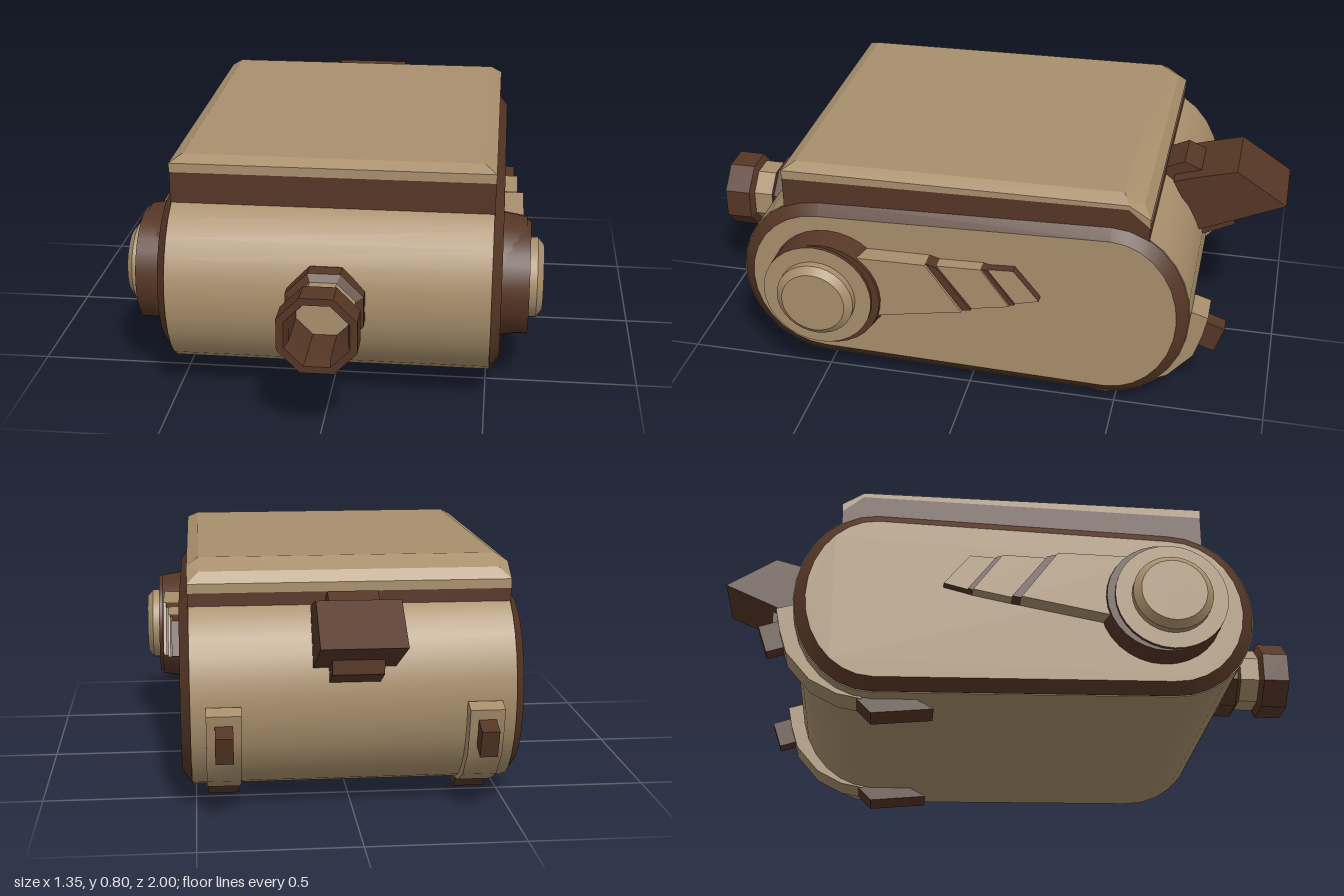
import * as THREE from 'three';
import { toCreasedNormals } from 'three/addons/utils/BufferGeometryUtils.js';

const tan = new THREE.MeshStandardMaterial({ color: 0xa88f6c });
tan.name = 'tan shell';
const brown = new THREE.MeshStandardMaterial({ color: 0x553625 });
brown.name = 'brown trim';

export function createModel() {
  const model = new THREE.Group();
  model.name = 'packUnit';

  const add = (name, geometry, material) => {
    const mesh = new THREE.Mesh(geometry, material);
    mesh.name = name;
    model.add(mesh);
    return mesh;
  };

  // Side outline given as [z, y] points, extruded across x from x0 to x1
  const prism = (name, pts, x0, x1, caps, walls = caps, bevel = {}) => {
    const shape = new THREE.Shape(pts.map(([z, y]) => new THREE.Vector2(z, y)));
    let geo = new THREE.ExtrudeGeometry(shape, { depth: x1 - x0, bevelEnabled: false, ...bevel });
    geo.rotateY(-Math.PI / 2).translate(x1, 0, 0);
    geo = toCreasedNormals(geo, Math.PI / 6);
    return add(name, geo, caps === walls ? caps : [caps, walls]);
  };

  // Rounded, slightly tapering body outline
  const outline = (grow) => {
    const pts = [];
    const n = 14;
    for (let i = 0; i <= n; i++) {
      const a = -Math.PI / 2 + (Math.PI * i) / n;
      pts.push([0.5 + (0.275 + grow) * Math.cos(a), 0.365 + (0.295 + grow) * Math.sin(a)]);
    }
    for (let i = 0; i <= n; i++) {
      const a = Math.PI / 2 + (Math.PI * i) / n;
      pts.push([-0.47 + (0.262 + grow) * Math.cos(a), 0.371 + (0.32 + grow) * Math.sin(a)]);
    }
    return pts;
  };
  prism('bodyWithBevelledRims', outline(0), -0.513, 0.513, tan, brown, {
    bevelEnabled: true, bevelThickness: 0.03, bevelSize: 0.038, bevelOffset: -0.038, bevelSegments: 1,
  });
  prism('bodyShell', outline(0.003), -0.512, 0.512, tan);

  // Lid: brown band below a bevelled tan cover
  prism('lidBand', [[0.62, 0.6], [0.62, 0.737], [-0.52, 0.762], [-0.59, 0.705], [-0.59, 0.6]], -0.515, 0.515, brown);
  const ring = (x, z, y) => [
    [x, y[0], z[0]], [x, y[1], z[1]], [x, y[2], z[2]],
    [-x, y[2], z[2]], [-x, y[1], z[1]], [-x, y[0], z[0]],
  ];
  const rings = [
    ring(0.516, [0.621, -0.52, -0.591], [0.735, 0.76, 0.7]),
    ring(0.516, [0.621, -0.52, -0.591], [0.765, 0.775, 0.73]),
    ring(0.478, [0.582, -0.5, -0.565], [0.786, 0.8, 0.765]),
  ];
  const index = [];
  for (let k = 0; k < 2; k++) {
    for (let i = 0; i < 6; i++) {
      const a = k * 6 + i, b = k * 6 + ((i + 1) % 6);
      index.push(a, b, b + 6, a, b + 6, a + 6);
    }
  }
  [0, 1, 4, 0, 4, 5, 1, 2, 3, 1, 3, 4].forEach((i) => index.push(12 + i));
  const lid = new THREE.BufferGeometry();
  lid.setAttribute('position', new THREE.Float32BufferAttribute(rings.flat(2), 3));
  lid.setIndex(index);
  add('lidCover', toCreasedNormals(lid, Math.PI / 9), tan);

  // Front nozzle, eight-sided and hollow
  const nozzle = (name, pts, material) => {
    const c = Math.cos(Math.PI / 8);
    const geo = new THREE.LatheGeometry(pts.map(([r, z]) => new THREE.Vector2(r / c, z)), 8, Math.PI / 8);
    geo.rotateX(Math.PI / 2).translate(0, 0.37, 0);
    add(name, toCreasedNormals(geo, Math.PI / 9), material);
  };
  nozzle('nozzleRearCollar', [[0.11, 0.72], [0.1225, 0.76], [0.1225, 0.815], [0.095, 0.835]], brown);
  nozzle('nozzleNeck', [[0.1, 0.78], [0.1, 0.92]], tan);
  nozzle('nozzleFrontCollar', [[0.095, 0.895], [0.1225, 0.91], [0.1225, 1], [0.1, 1], [0.09, 0.96], [0.09, 0.8]], brown);
  nozzle('nozzleFloor', [[0.095, 0.8], [0, 0.801]], tan);

  // Rear fin with its narrower core
  prism('rearFin', [[-0.62, 0.66], [-0.7, 0.685], [-0.83, 0.72], [-1, 0.61], [-0.72, 0.485]], -0.13, 0.13, brown);
  prism('rearFinCore', [[-0.58, 0.68], [-0.65, 0.712], [-0.75, 0.67], [-0.835, 0.54],
    [-0.835, 0.49], [-0.72, 0.435], [-0.64, 0.5]], -0.08, 0.08, brown);

  for (const s of [1, -1]) {
    const side = s > 0 ? 'left' : 'right';

    // Round hub
    const disc = (name, rOut, rIn, x0, x1, z, mats) => {
      const geo = new THREE.CylinderGeometry(rIn, rOut, x1 - x0, 32);
      const mesh = add(side + name, geo, mats);
      mesh.rotation.z = (-s * Math.PI) / 2;
      mesh.position.set((s * (x0 + x1)) / 2, 0.37, z);
    };
    disc('HubSleeve', 0.21, 0.19, 0.5, 0.618, 0.465, brown);
    disc('HubDisc', 0.185, 0.185, 0.5, 0.63, 0.485, [brown, tan, tan]);
    disc('HubCap', 0.131, 0.131, 0.62, 0.655, 0.485, tan);
    disc('HubCapBevel', 0.131, 0.107, 0.655, 0.675, 0.485, tan);

    // Stepped arm running back from the hub
    const slab = (name, pts, x, caps, walls) =>
      prism(side + name, pts, s > 0 ? 0.52 : -x, s > 0 ? x : -0.52, caps, walls);
    slab('ArmFirstStep', [[0.45, 0.52], [0.12, 0.525], [0, 0.36], [0.45, 0.275]], 0.608, tan);
    slab('ArmFirstRiser', [[0.12, 0.525], [0.085, 0.515], [-0.03, 0.365], [0, 0.36]], 0.598, brown);
    slab('ArmSecondStep', [[0.085, 0.515], [-0.06, 0.52], [-0.155, 0.39], [-0.03, 0.365]], 0.588, tan);
    slab('ArmSecondRiser', [[-0.06, 0.52], [-0.08, 0.515], [-0.172, 0.395], [-0.155, 0.39]], 0.581, brown);
    slab('ArmThirdStep', [[-0.08, 0.515], [-0.165, 0.52], [-0.25, 0.415], [-0.172, 0.395]], 0.574, tan, brown);

    // Curved rear strap, its nub, and the foot below
    const x = s * 0.41;
    prism(side + 'RearStrap', [[-0.74, 0.37], [-0.79, 0.355], [-0.775, 0.28], [-0.75, 0.2], [-0.67, 0.107], [-0.58, 0.06],
      [-0.5, 0.045], [-0.5, 0.1], [-0.6, 0.15], [-0.68, 0.24], [-0.7, 0.36]], x - 0.055, x + 0.055, tan);
    prism(side + 'StrapNub', [[-0.76, 0.33], [-0.845, 0.3], [-0.815, 0.21], [-0.74, 0.235]], x - 0.028, x + 0.028, brown);
    prism(side + 'Foot', [[-0.27, 0.02], [-0.36, 0.07], [-0.54, 0.07], [-0.47, 0]], x - 0.05, x + 0.05, brown);
  }
  return model;
}
